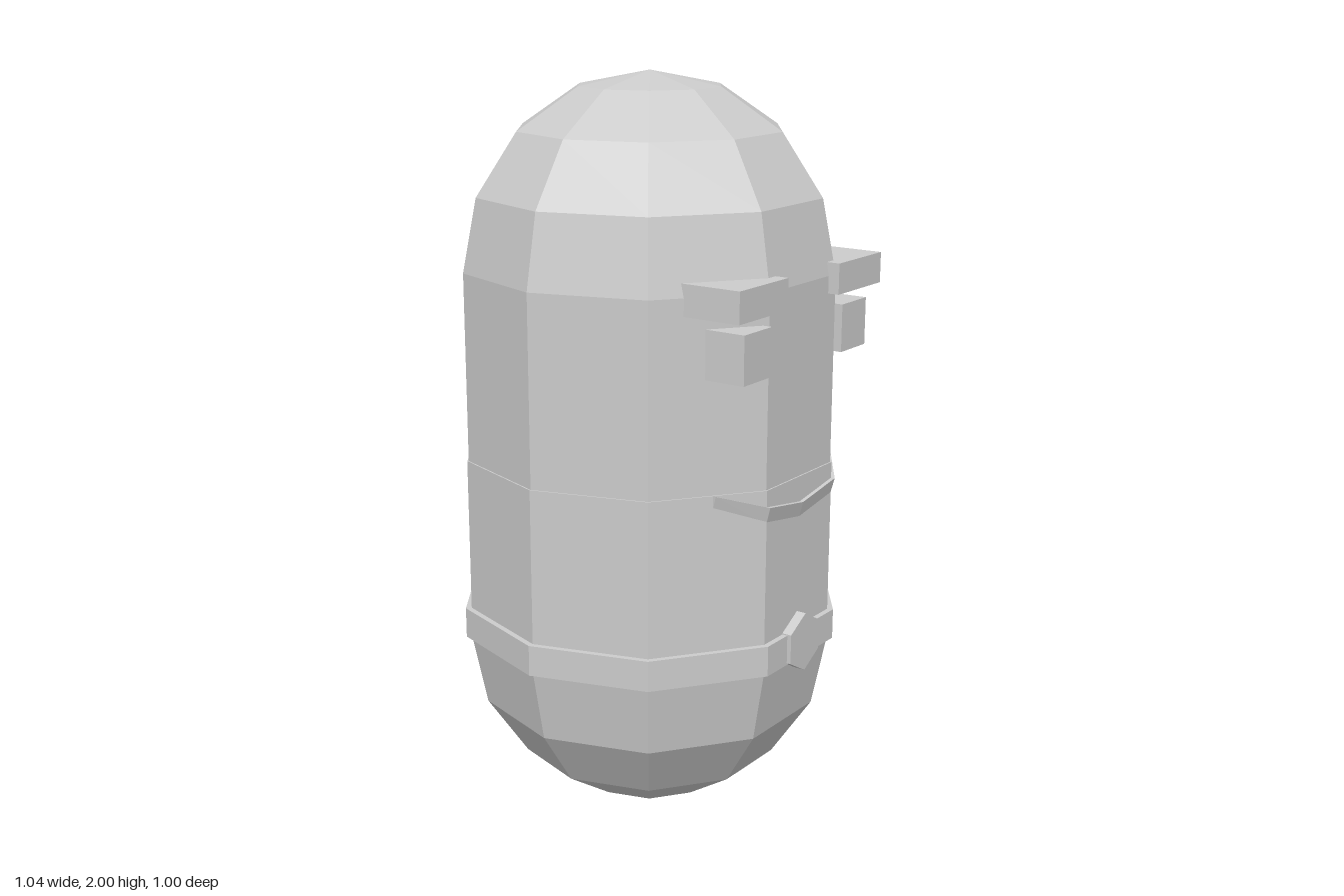
import * as THREE from 'three';

const SIDES = 10;
const Z0 = -0.006; // body axis sits slightly behind the centre

export function createModel() {
  const model = new THREE.Group();
  const grey = new THREE.MeshStandardMaterial({ color: 0xcccccc, flatShading: true });
  const greyDouble = new THREE.MeshStandardMaterial({ color: 0xcccccc, flatShading: true, side: THREE.DoubleSide });

  function add(name, geometry, x = 0, y = 0, z = 0, material = grey) {
    const mesh = new THREE.Mesh(geometry, material);
    mesh.name = name;
    mesh.position.set(x, y, z);
    model.add(mesh);
    return mesh;
  }
  // ten-sided turned part with a corner on the x axis
  const turned = (points) =>
    new THREE.LatheGeometry(points.map(([r, y]) => new THREE.Vector2(r, y)), SIDES, Math.PI / 2);

  // quarter-circle dome profile, from pole to rim or rim to pole
  const dome = (radius, centreY, from, to) =>
    [0, 1, 2, 3, 4].map((i) => {
      const a = from + ((to - from) * i) / 4;
      return [Math.max(0, radius * Math.cos(a)), centreY + 0.5 * Math.sin(a)];
    });

  // rounded lower and upper halves, the lower one a shade wider
  add('lowerBody', turned([...dome(0.504, 0.5, -Math.PI / 2, 0), [0.504, 1], [0.49, 1]]), 0, 0, Z0);
  add('upperBody', turned([[0.5, 0.99], ...dome(0.5, 1.5, 0, Math.PI / 2)]), 0, 0, Z0);

  // belt with a hexagonal buckle
  add('belt', turned([[0.49, 0.505], [0.52, 0.505], [0.52, 0.587], [0.49, 0.587]]), 0, 0, Z0);
  const buckle = new THREE.CylinderGeometry(0.08, 0.08, 0.03, 6).rotateX(Math.PI / 2);
  add('buckle', buckle, 0, 0.55, 0.485);

  // eyes and brows, mirrored
  for (const side of [1, -1]) {
    const prefix = side > 0 ? 'left' : 'right';
    add(prefix + 'Eye', new THREE.BoxGeometry(0.12, 0.125, 0.2), side * 0.227, 1.358, 0.385);
    add(prefix + 'Brow', new THREE.BoxGeometry(0.212, 0.08, 0.2), side * 0.226, 1.495, 0.4);
  }

  // smiling lip: a thin wedge that follows the front facets
  const path = [[-0.27, 1, 0.386], [-0.155, 0.957, 0.472], [0, 0.932, 0.472], [0.155, 0.957, 0.472], [0.27, 1, 0.386]];
  const positions = [];
  const index = [];
  path.forEach(([x, y, z], i) => {
    positions.push(x, y, z - 0.02, x * 1.01, y, z + 0.012, x, y - 0.045, z);
    if (i === 0) return;
    const a = 3 * (i - 1);
    const b = 3 * i;
    for (let k = 0; k < 3; k++) {
      const n = (k + 1) % 3;
      index.push(a + k, a + n, b + n, a + k, b + n, b + k);
    }
  });
  index.push(0, 2, 1, 12, 13, 14);
  const lip = new THREE.BufferGeometry();
  lip.setAttribute('position', new THREE.Float32BufferAttribute(positions, 3));
  lip.setIndex(index);
  lip.computeVertexNormals();
  add('smile', lip, 0, 0, 0, greyDouble);

  return model;
}
